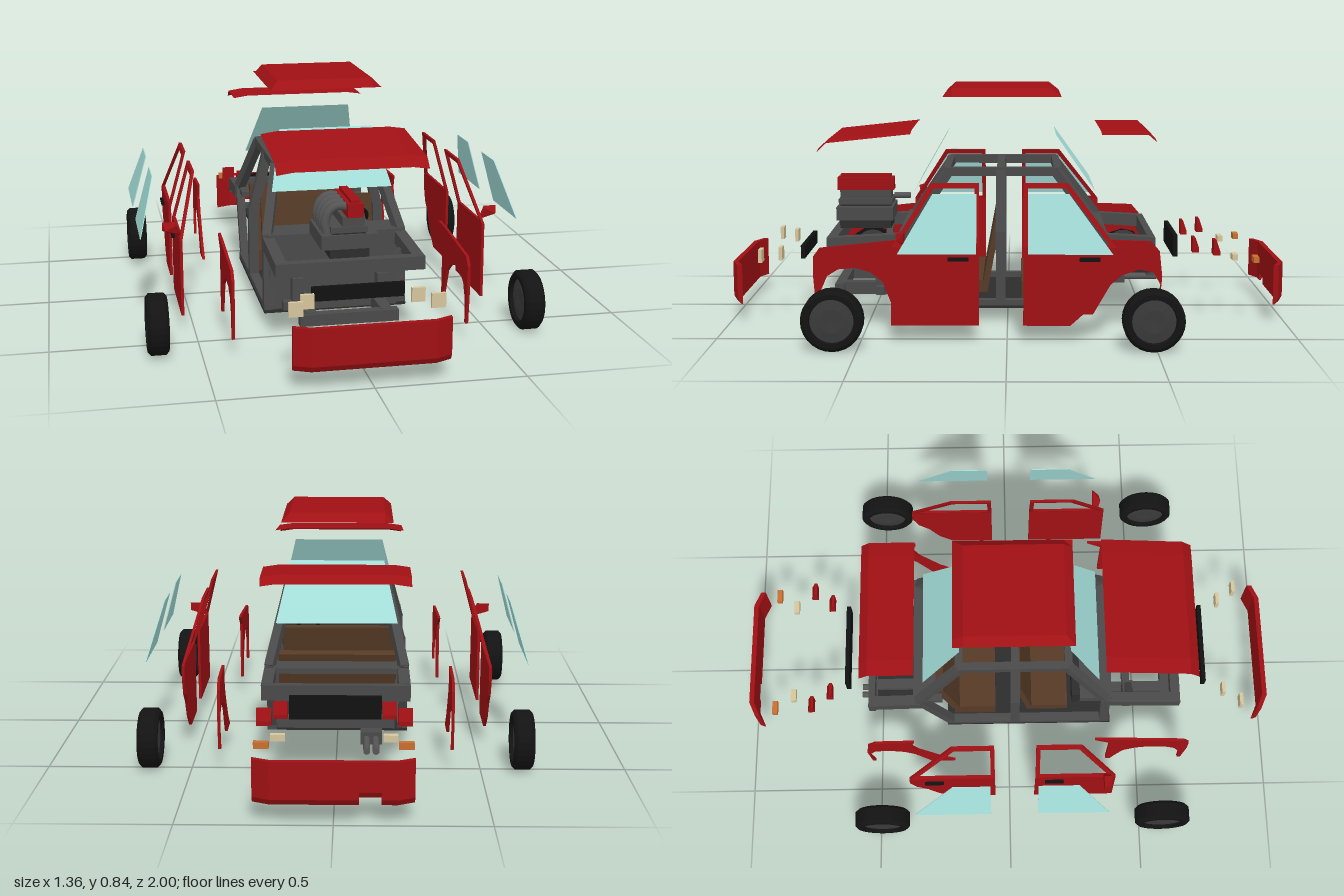
import * as THREE from 'three';
import { ConvexGeometry } from 'three/addons/geometries/ConvexGeometry.js';

const paint = (color, extra = {}) => new THREE.MeshStandardMaterial({ color, flatShading: true, ...extra });
const RED = paint(0xa01014, { side: THREE.DoubleSide });
const GLASS = paint(0xa5dfda, { side: THREE.DoubleSide });
const FRAME = paint(0x4a4a4a), DARK = paint(0x2c2c2c), BLACK = paint(0x111111);
const BROWN = paint(0x553a26), CREAM = paint(0xd6c69c), ORANGE = paint(0xc87030);
const TYRE = paint(0x131313), HUB = paint(0x3a3a3a);
const METAL = new THREE.MeshStandardMaterial({ color: 0x555555 });

export function createModel() {
  const root = new THREE.Group();
  root.name = 'explodedCar';

  const add = (name, geometry, material, x = 0, y = 0, z = 0) => {
    const mesh = new THREE.Mesh(geometry, material);
    mesh.name = name;
    mesh.position.set(x, y, z);
    root.add(mesh);
    return mesh;
  };
  // Box given by its extents
  const box = (name, mat, x0, x1, y0, y1, z0, z1) =>
    add(name, new THREE.BoxGeometry(x1 - x0, y1 - y0, z1 - z0), mat, (x0 + x1) / 2, (y0 + y1) / 2, (z0 + z1) / 2);
  // Square bar between two points
  const beam = (name, mat, a, b, w = 0.03, h = w) => {
    const p = new THREE.Vector3(...a), q = new THREE.Vector3(...b);
    const mesh = add(name, new THREE.BoxGeometry(w, h, p.distanceTo(q)), mat, ...p.clone().lerp(q, 0.5));
    mesh.lookAt(q);
    return mesh;
  };
  // Open sheet through rows of points
  const sheet = (name, mat, rows) => {
    const g = new THREE.PlaneGeometry(1, 1, rows[0].length - 1, rows.length - 1);
    rows.flat().forEach((p, i) => g.attributes.position.setXYZ(i, ...p));
    g.computeVertexNormals();
    return add(name, g, mat);
  };
  // Upright side panel drawn in (z, y); above the beltline it leans inward
  const sidePanel = (name, mat, s, x, outline, hole, depth = 0.01) => {
    const toV = (l) => l.map((p) => new THREE.Vector2(...p));
    const shape = new THREE.Shape(toV(outline));
    if (hole) shape.holes.push(new THREE.Path(toV(hole)));
    const g = new THREE.ExtrudeGeometry(shape, { depth, bevelEnabled: false });
    g.translate(0, 0, -depth / 2).rotateY(-Math.PI / 2);
    const p = g.attributes.position;
    for (let i = 0; i < p.count; i++)
      p.setX(i, p.getX(i) + s * (x - Math.max(0, p.getY(i) - 0.33) * 0.28));
    g.computeVertexNormals();
    return add(name, g, mat);
  };

  // Roof, hood and trunk lid sheets
  const roofX = [-0.2, -0.17, 0.17, 0.2];
  sheet('roof', RED, [-0.193, -0.155, 0.2, 0.233].map((z, r) =>
    roofX.map((x, c) => [x, r % 3 && c % 3 ? 0.84 : 0.81, z])));
  const lidX = [-0.255, -0.2, 0.2, 0.255];
  const lid = (name, profile) => sheet(name, RED, profile.map(([z, y]) =>
    lidX.map((x, c) => [x, y - (c % 3 ? 0 : 0.008), z])));
  lid('hood', [[0.345, 0.69], [0.645, 0.658], [0.68, 0.625]]);
  lid('trunkLid', [[-0.53, 0.662], [-0.5, 0.688], [-0.335, 0.688]]);

  // Front and rear glass
  const pane = (name, zTop, zLow) => sheet(name, GLASS, [
    [[-0.168, 0.67, zTop], [0.168, 0.67, zTop]], [[-0.215, 0.472, zLow], [0.215, 0.472, zLow]]]);
  pane('windshield', 0.222, 0.335);
  pane('rearWindow', -0.175, -0.315);

  // Bumpers: upright slabs with angled ends; the rear one is notched for the exhaust
  const bumper = (name, s, stops) => stops.slice(1).forEach(([x1, lowY], i) => {
    const x0 = stops[i][0], pts = [];
    for (const x of [x0, x1]) {
      const z = Math.abs(x) > 0.21 ? 0.975 : 1;
      for (const [y, dz] of [[lowY, 0.012], [lowY + 0.02, 0], [0.21, 0]])
        pts.push(new THREE.Vector3(x, y, s * (z - dz)), new THREE.Vector3(x, y, s * (z - 0.018)));
    }
    add(name, new ConvexGeometry(pts), RED);
  });
  bumper('frontBumper', 1, [[-0.255], [-0.2, 0.065], [0.2, 0.065], [0.255, 0.065]]);
  bumper('rearBumper', -1, [[-0.255], [-0.2, 0.065], [-0.15, 0.065], [-0.08, 0.09], [0.2, 0.065], [0.255, 0.065]]);

  // Grille and rear trim strip
  box('grille', BLACK, -0.155, 0.155, 0.212, 0.26, 0.745, 0.76);
  box('rearTrim', BLACK, -0.155, 0.155, 0.22, 0.3, -0.622, -0.606);

  // Wheel profile, from hub face over the tyre to the other hub face
  const lathe = (pts) => new THREE.LatheGeometry(pts.map((p) => new THREE.Vector2(...p)), 28).rotateZ(Math.PI / 2);
  const tyre = lathe([[0.073, -0.02], [0.076, -0.035], [0.093, -0.035], [0.104, -0.025],
    [0.104, 0.025], [0.093, 0.035], [0.076, 0.035], [0.073, 0.02], [0.073, -0.02]]);
  const hub = lathe([[0, -0.024], [0.04, -0.026], [0.074, -0.022], [0.074, 0.022], [0.04, 0.026], [0, 0.024]]);

  for (const s of [1, -1]) {
    const sideBox = (name, mat, a, b, ...rest) => box(name, mat, Math.min(s * a, s * b), Math.max(s * a, s * b), ...rest);
    const sideBeam = (name, a, b, w, h) => beam(name, FRAME, [s * a[0], a[1], a[2]], [s * b[0], b[1], b[2]], w, h);

    for (const z of [0.58, -0.487]) {
      add('tyre', tyre, TYRE, s * 0.643, 0.105, z);
      add('wheelHub', hub, HUB, s * 0.643, 0.105, z);
    }

    // Doors: lower skin, leaning window frame, handle
    sidePanel('frontDoorSkin', RED, s, 0.54, [[0.395, 0.06], [0.39, 0.33], [0.095, 0.33], [0.095, 0.06]]);
    sidePanel('frontWindowFrame', RED, s, 0.54, [[0.39, 0.33], [0.258, 0.54], [0.095, 0.54], [0.095, 0.33]],
      [[0.366, 0.338], [0.249, 0.523], [0.11, 0.523], [0.11, 0.338]]);
    sidePanel('rearDoorSkin', RED, s, 0.54, [[-0.055, 0.06], [-0.055, 0.33], [-0.37, 0.33], [-0.372, 0.28],
      [-0.35, 0.22], [-0.31, 0.18], [-0.27, 0.11], [-0.215, 0.06]]);
    sidePanel('rearWindowFrame', RED, s, 0.54, [[-0.055, 0.33], [-0.055, 0.54], [-0.208, 0.54], [-0.37, 0.33]],
      [[-0.07, 0.338], [-0.07, 0.523], [-0.2, 0.523], [-0.345, 0.338]]);
    sideBox('frontDoorHandle', BLACK, 0.543, 0.556, 0.284, 0.297, 0.13, 0.2);
    sideBox('rearDoorHandle', BLACK, 0.543, 0.556, 0.284, 0.297, -0.315, -0.245);
    // Door mirror on a tapered arm
    add('doorMirror', new ConvexGeometry([[0.535, 0.335, 0.345], [0.535, 0.345, 0.365], [0.56, 0.35, 0.345],
      [0.555, 0.385, 0.345], [0.6, 0.385, 0.345], [0.6, 0.355, 0.345], [0.555, 0.38, 0.375], [0.59, 0.36, 0.37]]
      .map(([x, y, z]) => new THREE.Vector3(s * x, y, z))), RED);

    // Side glass
    sidePanel('frontSideGlass', GLASS, s, 0.677, [[0.36, 0.333], [0.245, 0.525], [0.1, 0.525], [0.1, 0.333]], null, 0.003);
    sidePanel('rearSideGlass', GLASS, s, 0.677, [[-0.07, 0.333], [-0.07, 0.525], [-0.205, 0.525], [-0.348, 0.333]], null, 0.003);

    // Fenders with wheel arches
    sidePanel('frontFender', RED, s, 0.4, [[0.32, 0.33], [0.39, 0.328], [0.655, 0.3], [0.677, 0.27], [0.678, 0.2],
      [0.668, 0.065], [0.655, 0.065], [0.652, 0.15], [0.63, 0.2], [0.59, 0.225], [0.53, 0.23], [0.48, 0.215],
      [0.435, 0.18], [0.405, 0.1], [0.395, 0.065], [0.375, 0.065], [0.375, 0.29]]);
    sidePanel('rearFender', RED, s, 0.4, [[-0.355, 0.33], [-0.5, 0.325], [-0.53, 0.29], [-0.54, 0.2], [-0.53, 0.08],
      [-0.518, 0.08], [-0.535, 0.17], [-0.51, 0.215], [-0.46, 0.225], [-0.4, 0.205], [-0.36, 0.17], [-0.3, 0.065],
      [-0.21, 0.065], [-0.27, 0.12], [-0.345, 0.22], [-0.37, 0.28]]);

    // Lamps
    sideBox('innerHeadlamp', CREAM, 0.16, 0.205, 0.215, 0.263, 0.82, 0.833);
    sideBox('outerHeadlamp', CREAM, 0.208, 0.255, 0.215, 0.263, 0.885, 0.898);
    for (const [name, x, z] of [['innerTailLamp', 0.18, -0.683], ['outerTailLamp', 0.23, -0.752]])
      add(name, new ConvexGeometry([-1, 1].flatMap((e) => [[0.245, -0.012], [0.26, -0.012], [0.3, 0.002], [0.3, 0.012], [0.245, 0.012]]
        .map(([y, dz]) => new THREE.Vector3(s * x + e * 0.024, y, z + dz)))), RED);
    sideBox('reverseLamp', CREAM, 0.157, 0.205, 0.217, 0.239, -0.836, -0.816);
    sideBox('rearIndicator', ORANGE, 0.205, 0.254, 0.217, 0.239, -0.905, -0.885);

    // Body frame: pillars, roof rail, sill, rails
    sideBeam('lowerAPillar', [0.237, 0.06, 0.375], [0.237, 0.33, 0.365], 0.035);
    sideBeam('aPillar', [0.237, 0.32, 0.365], [0.182, 0.54, 0.215], 0.032);
    sideBeam('lowerBPillar', [0.237, 0.05, 0.025], [0.237, 0.33, 0.025], 0.035);
    sideBeam('bPillar', [0.237, 0.32, 0.025], [0.182, 0.545, 0.025], 0.035);
    sideBeam('cPillar', [0.237, 0.32, -0.34], [0.182, 0.54, -0.175], 0.032);
    sideBeam('quarterPost', [0.237, 0.33, -0.34], [0.237, 0.06, -0.22], 0.03);
    sideBeam('roofRail', [0.182, 0.54, 0.225], [0.182, 0.54, -0.185], 0.03);
    sideBeam('sill', [0.237, 0.065, 0.395], [0.237, 0.065, -0.24], 0.035, 0.03);
    sideBeam('frontUpperRail', [0.235, 0.3, 0.36], [0.235, 0.285, 0.64], 0.04, 0.045);
    sideBeam('rearUpperRail', [0.235, 0.3, -0.33], [0.235, 0.29, -0.51], 0.04, 0.045);
    sideBeam('frontChassisRail', [0.13, 0.1, 0.38], [0.13, 0.1, 0.62], 0.04, 0.045);
    sideBeam('suspensionTower', [0.15, 0.08, 0.465], [0.15, 0.2, 0.465], 0.04);
    sideBeam('towerBrace', [0.15, 0.2, 0.465], [0.235, 0.285, 0.465], 0.025);
    sideBeam('rearRailKick', [0.13, 0.07, -0.22], [0.13, 0.18, -0.35], 0.04);
    sideBeam('rearChassisRail', [0.13, 0.18, -0.34], [0.13, 0.18, -0.52], 0.04);
  }

  // Floor, cross members and firewall
  box('floor', DARK, -0.255, 0.255, 0.05, 0.06, -0.24, 0.4);
  box('firewall', FRAME, -0.235, 0.235, 0.06, 0.31, 0.375, 0.39);
  box('cowl', FRAME, -0.24, 0.24, 0.29, 0.33, 0.27, 0.39);
  box('dashboard', DARK, -0.225, 0.225, 0.24, 0.32, 0.24, 0.3);
  box('frontPanel', FRAME, -0.255, 0.255, 0.262, 0.308, 0.615, 0.65);
  box('frontSubframe', FRAME, -0.17, 0.17, 0.08, 0.12, 0.6, 0.635);
  box('axleBeam', FRAME, -0.2, 0.2, 0.085, 0.115, 0.45, 0.48);
  box('rearPanel', FRAME, -0.255, 0.255, 0.255, 0.31, -0.53, -0.505);
  box('trunkFloor', DARK, -0.2, 0.2, 0.17, 0.182, -0.52, -0.32);
  box('rearCrossMember', FRAME, -0.2, 0.2, 0.16, 0.2, -0.535, -0.505);
  box('parcelShelf', FRAME, -0.24, 0.24, 0.3, 0.32, -0.36, -0.25);
  for (const z of [0.22, 0.025, -0.18]) box('roofBow', FRAME, -0.185, 0.185, 0.528, 0.555, z - 0.014, z + 0.014);

  // Seats and steering
  beam('frontSeatBack', BROWN, [0, 0.1, 0.085], [0, 0.37, 0.035], 0.42, 0.022);
  box('frontSeatCushion', BROWN, -0.21, 0.21, 0.1, 0.145, 0.09, 0.23);
  beam('rearSeatBack', BROWN, [0, 0.12, -0.2], [0, 0.35, -0.26], 0.42, 0.03);
  box('rearSeatCushion', BROWN, -0.21, 0.21, 0.06, 0.14, -0.21, -0.05);
  const wheel = add('steeringWheel', new THREE.TorusGeometry(0.04, 0.007, 8, 24), BLACK, 0.12, 0.325, 0.19);
  wheel.rotation.x = 0.4;
  beam('steeringColumn', BLACK, [0.12, 0.325, 0.19], [0.12, 0.28, 0.27], 0.012);

  // Engine, lifted out of its bay
  box('engineSump', DARK, -0.068, 0.068, 0.31, 0.34, 0.435, 0.625);
  box('engineBlock', FRAME, -0.098, 0.095, 0.343, 0.392, 0.425, 0.635);
  box('cylinderHead', FRAME, -0.065, 0.06, 0.398, 0.418, 0.43, 0.63);
  box('headGasket', DARK, -0.06, 0.055, 0.39, 0.4, 0.435, 0.625);
  box('camCarrier', FRAME, -0.025, 0.05, 0.418, 0.45, 0.435, 0.625);
  box('camCover', RED, -0.01, 0.044, 0.45, 0.497, 0.425, 0.635);
  box('camCoverRidge', RED, 0.003, 0.031, 0.497, 0.508, 0.435, 0.625);
  const runner = new THREE.CatmullRomCurve3([[-0.075, 0.395], [-0.08, 0.43], [-0.065, 0.47], [-0.035, 0.486], [0, 0.48]]
    .map(([x, y]) => new THREE.Vector3(x, y, 0)));
  for (let i = 0; i < 4; i++) add('manifoldPipe', new THREE.TubeGeometry(runner, 14, 0.015, 10), METAL, 0, 0, 0.46 + i * 0.047);
  const rod = (r, l) => new THREE.CylinderGeometry(r, r, l, 14).rotateX(Math.PI / 2);
  add('gearboxShaft', rod(0.012, 0.06), METAL, -0.04, 0.418, 0.4);

  // Twin exhaust tips
  for (const x of [-0.138, -0.106]) add('exhaustPipe', rod(0.012, 0.14), METAL, x, 0.09, -0.505);
  box('silencer', FRAME, -0.16, -0.085, 0.07, 0.115, -0.45, -0.34);

  return root;
}
